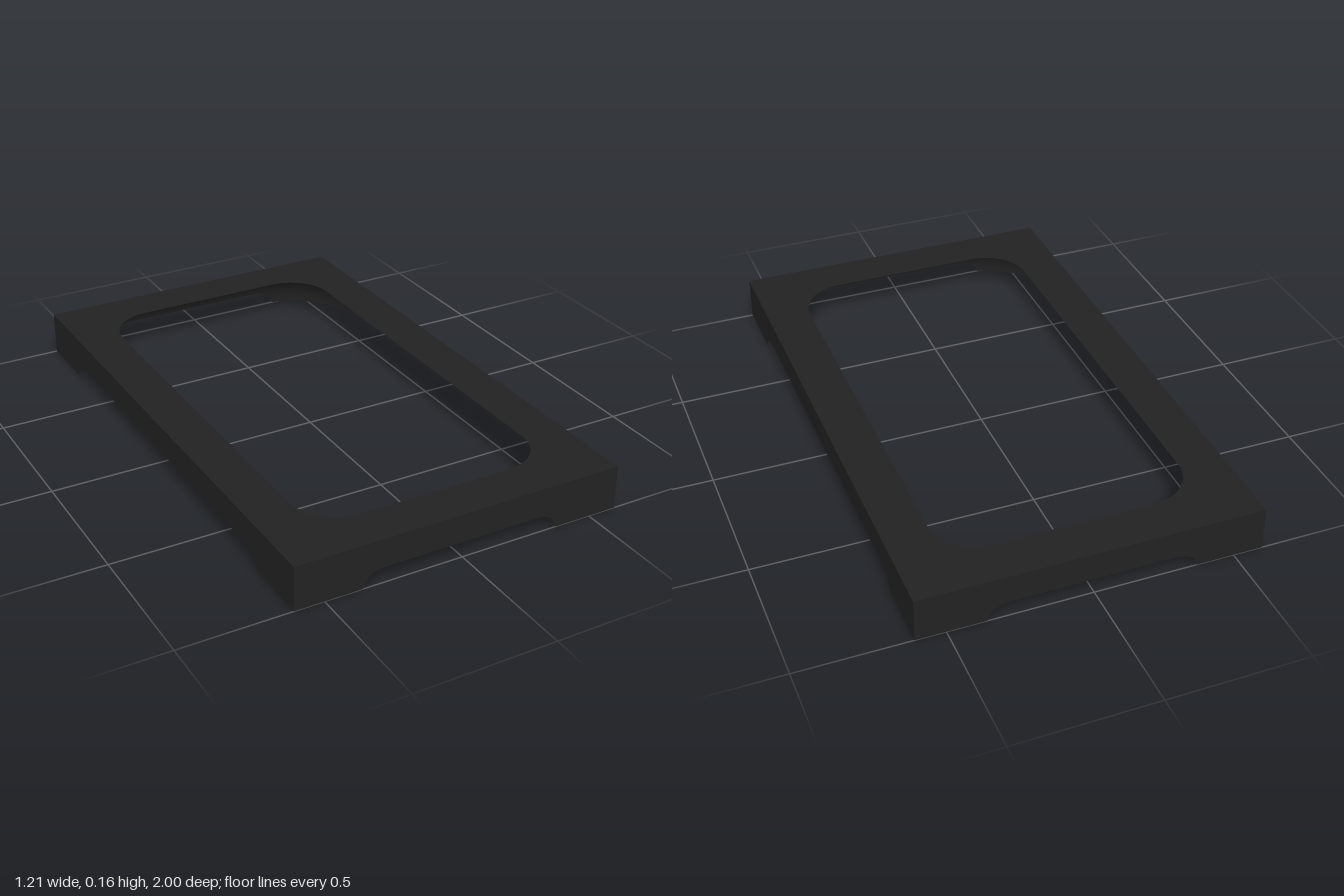
import * as THREE from 'three';
import { toCreasedNormals } from 'three/addons/utils/BufferGeometryUtils.js';

const HALF_X = 0.605, HALF_Z = 1, HEIGHT = 0.16;
const RIM = 0.165;      // corner radius of the opening at the top
const FLARE = 0.1687;   // how far the hollow widens towards the bottom
const WALL = 0.323;     // corner centre to outer wall
const STEPS = 18;       // points along the hollow's curve

// Angles of one corner, including the feet's edges and the outer corner
function cornerAngles() {
  const foot = Math.acos(WALL / (RIM + FLARE));
  const angles = [];
  const span = (from, to, n) => {
    for (let i = 0; i < n; i++) angles.push(from + (to - from) * i / n);
  };
  span(0, foot, 6);
  span(foot, Math.PI / 4, 6);
  span(Math.PI / 4, Math.PI / 2 - foot, 6);
  span(Math.PI / 2 - foot, Math.PI / 2, 6);
  angles.push(Math.PI / 2);
  return angles;
}

// Closed cross-section: rim, curved hollow, foot, outer wall, back to the rim
function section(quadrant, angle) {
  const a = angle + quadrant * Math.PI / 2;
  const signX = quadrant === 0 || quadrant === 3 ? 1 : -1;
  const signZ = quadrant < 2 ? 1 : -1;
  const cx = signX * (HALF_X - WALL), cz = signZ * (HALF_Z - WALL);
  const reach = WALL / Math.max(Math.cos(angle), Math.sin(angle));
  const point = (r, y) => new THREE.Vector3(cx + r * Math.cos(a), y, cz + r * Math.sin(a));
  const end = Math.asin(Math.min(1, (reach - RIM) / FLARE));
  const points = [];
  for (let i = 0; i <= STEPS; i++) {
    const t = end * i / STEPS;
    points.push(point(RIM + FLARE * Math.sin(t), HEIGHT * Math.cos(t)));
  }
  points.push(point(reach, HEIGHT * Math.cos(end)));
  points.push(point(reach, HEIGHT));
  return points;
}

// Joins neighbouring cross-sections into a closed ring
function ringGeometry(sections) {
  const positions = [];
  const tri = new THREE.Triangle();
  const addTriangle = (a, b, c) => {
    if (tri.set(a, b, c).getArea() < 1e-9) return;
    for (const p of [a, b, c]) positions.push(p.x, p.y, p.z);
  };
  sections.forEach((a, s) => {
    const b = sections[(s + 1) % sections.length];
    for (let i = 0; i < a.length; i++) {
      const j = (i + 1) % a.length;
      addTriangle(a[i], a[j], b[j]);
      addTriangle(a[i], b[j], b[i]);
    }
  });
  const geometry = new THREE.BufferGeometry();
  geometry.setAttribute('position', new THREE.Float32BufferAttribute(positions, 3));
  return toCreasedNormals(geometry, 0.5);
}

export function createModel() {
  const group = new THREE.Group();
  group.name = 'openFrame';

  // Rectangular frame with a flared hollow that leaves four corner feet
  const sections = [];
  for (let q = 0; q < 4; q++) {
    for (const angle of cornerAngles()) sections.push(section(q, angle));
  }
  const frame = new THREE.Mesh(
    ringGeometry(sections),
    new THREE.MeshStandardMaterial({ color: 0x222222 })
  );
  frame.name = 'frame';
  group.add(frame);
  return group;
}
